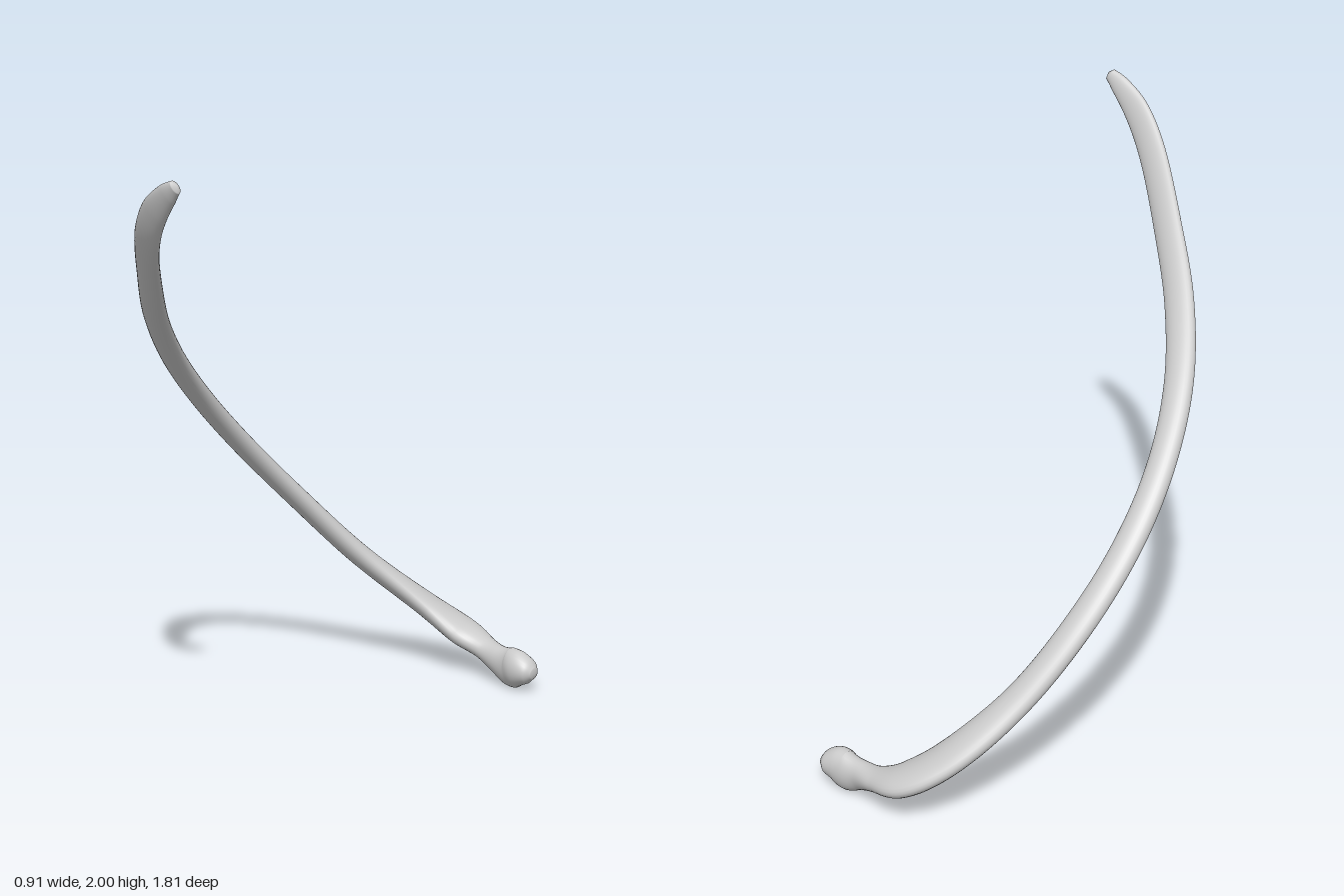
import * as THREE from 'three';

// Stations from the knobbed head to the thin tip:
// centre x, y, z, then section width, thickness and twist in degrees
const STATIONS = [
  [0.446, 0.075, -0.765, 0.045, 0.04, 46],
  [0.425, 0.077, -0.765, 0.088, 0.086, 46],
  [0.38, 0.079, -0.767, 0.102, 0.13, 46],
  [0.34, 0.074, -0.778, 0.094, 0.142, 46],
  [0.28, 0.084, -0.79, 0.086, 0.106, 46],
  [0.2, 0.106, -0.812, 0.108, 0.078, 45],
  [0.09, 0.148, -0.818, 0.178, 0.088, 42],
  [-0.03, 0.23, -0.77, 0.165, 0.084, 33],
  [-0.205, 0.42, -0.605, 0.118, 0.077, 16],
  [-0.335, 0.66, -0.4, 0.106, 0.07, 5],
  [-0.397, 0.87, -0.2, 0.1, 0.068, 0],
  [-0.403, 1.065, 0, 0.098, 0.068, 2],
  [-0.355, 1.25, 0.2, 0.105, 0.066, 8],
  [-0.25, 1.43, 0.4, 0.112, 0.06, 16],
  [-0.105, 1.605, 0.59, 0.115, 0.053, 24],
  [0.062, 1.79, 0.78, 0.112, 0.046, 26],
  [0.16, 1.89, 0.852, 0.1, 0.038, 26],
  [0.245, 1.957, 0.886, 0.07, 0.033, 26],
  [0.284, 1.983, 0.896, 0.044, 0.026, 26],
];

// Sweeps a twisting ellipse along the centreline
function sweepBone(rings, sides) {
  const path = new THREE.CatmullRomCurve3(STATIONS.map(s => new THREE.Vector3(s[0], s[1], s[2])), false, 'centripetal');
  const sizes = new THREE.CatmullRomCurve3(STATIONS.map(s => new THREE.Vector3(s[3], s[4], s[5])), false, 'catmullrom');
  const planeNormal = new THREE.Vector3(0, 0.69, -0.72).normalize();
  const positions = [];
  const indices = [];

  for (let i = 0; i <= rings; i++) {
    const t = i / rings;
    const centre = path.getPoint(t);
    const size = sizes.getPoint(t);
    const tangent = path.getTangent(t);
    // outward in the plane of the arc, then twisted toward the plane's normal
    const wide = tangent.clone().cross(planeNormal).normalize()
      .applyAxisAngle(tangent, -THREE.MathUtils.degToRad(size.z));
    const thin = tangent.clone().cross(wide);
    for (let j = 0; j < sides; j++) {
      const a = (j / sides) * Math.PI * 2;
      const p = centre.clone()
        .addScaledVector(wide, Math.cos(a) * size.x / 2)
        .addScaledVector(thin, Math.sin(a) * size.y / 2);
      positions.push(p.x, p.y, p.z);
    }
  }

  for (let i = 0; i < rings; i++) {
    for (let j = 0; j < sides; j++) {
      const k = (j + 1) % sides;
      const a = i * sides + j, b = i * sides + k;
      indices.push(a, b, a + sides, b, b + sides, a + sides);
    }
  }

  // Slightly domed end caps
  for (const end of [0, 1]) {
    const pole = positions.length / 3;
    const p = path.getPoint(end).addScaledVector(path.getTangent(end), end ? 0.01 : -0.006);
    positions.push(p.x, p.y, p.z);
    const base = end * rings * sides;
    for (let j = 0; j < sides; j++) {
      const a = base + j, b = base + (j + 1) % sides;
      if (end) indices.push(pole, a, b);
      else indices.push(pole, b, a);
    }
  }

  const geometry = new THREE.BufferGeometry();
  geometry.setAttribute('position', new THREE.Float32BufferAttribute(positions, 3));
  geometry.setIndex(indices);
  geometry.computeVertexNormals();
  return geometry;
}

export function createModel() {
  const group = new THREE.Group();
  group.name = 'rib';
  const bone = new THREE.Mesh(sweepBone(180, 28), new THREE.MeshStandardMaterial({ color: 0xcccccc }));
  bone.name = 'ribBone';
  group.add(bone);
  return group;
}
